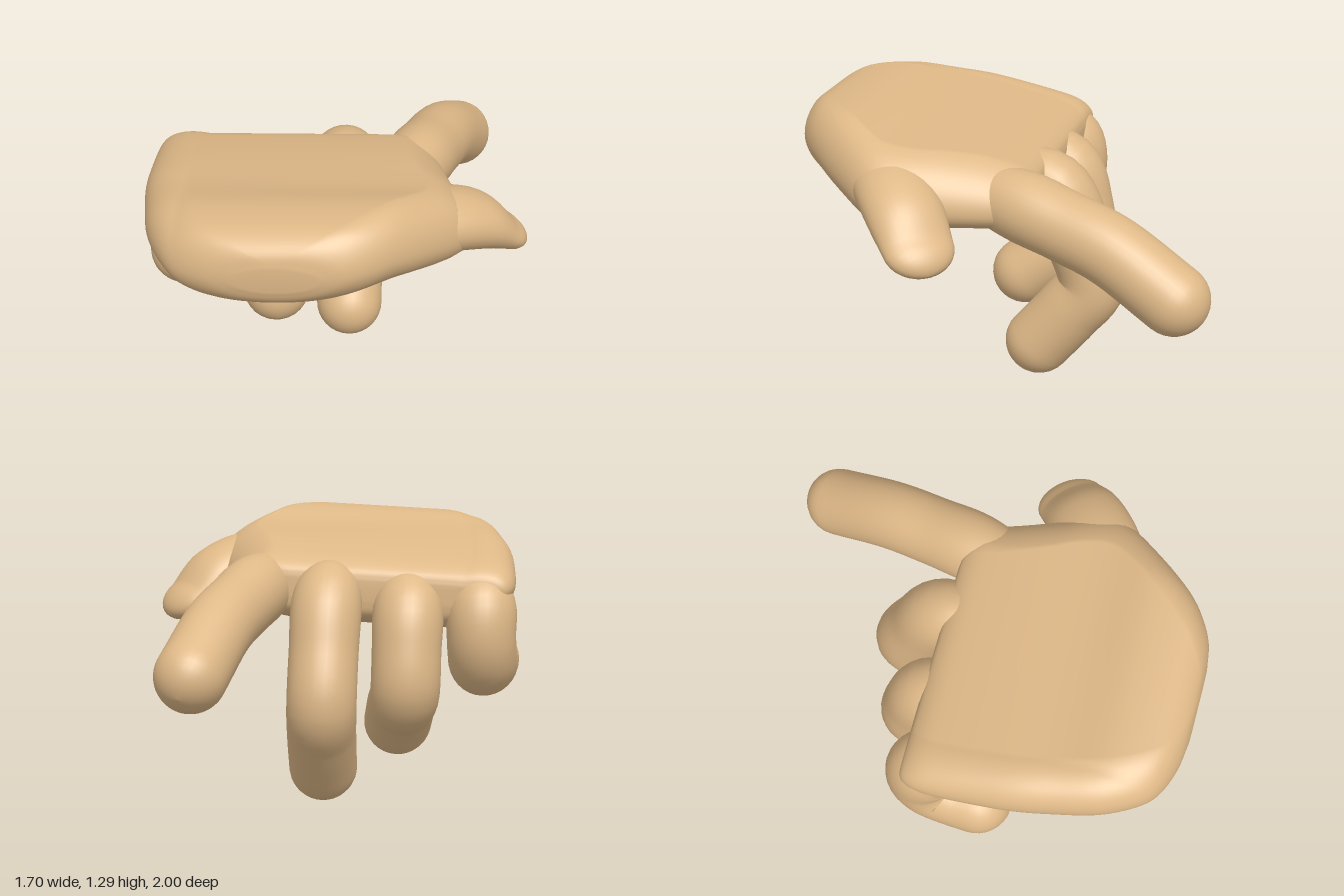
import * as THREE from 'three';

const V = (x, y, z) => new THREE.Vector3(x, y, z);
const SIDES = 32;

// Skin a list of closed rings, closing both ends with a fan
function loft(rings) {
  const n = rings[0].length, pos = [], idx = [];
  rings.forEach(r => r.forEach(p => pos.push(p.x, p.y, p.z)));
  for (let i = 0; i < rings.length - 1; i++) {
    for (let j = 0; j < n; j++) {
      const a = i * n + j, b = i * n + (j + 1) % n;
      idx.push(a, b, b + n, a, b + n, a + n);
    }
  }
  [0, rings.length - 1].forEach((i, end) => {
    const c = rings[i].reduce((s, p) => s.add(p), V(0, 0, 0)).divideScalar(n);
    const k = pos.length / 3;
    pos.push(c.x, c.y, c.z);
    for (let j = 0; j < n; j++) {
      const a = i * n + j, b = i * n + (j + 1) % n;
      if (end) idx.push(a, b, k); else idx.push(b, a, k);
    }
  });
  const g = new THREE.BufferGeometry();
  g.setAttribute('position', new THREE.Float32BufferAttribute(pos, 3));
  g.setIndex(idx);
  g.computeVertexNormals();
  return g;
}

// Sweep an ellipse along a curve and round off the tip.
// points: [x, y, z, sideRadius, upRadius]; side: reference sideways axis
function digit(points, side, tip) {
  const curve = new THREE.CatmullRomCurve3(points.map(p => V(p[0], p[1], p[2])));
  const radii = new THREE.CatmullRomCurve3(points.map(p => V(p[3], p[4], 0)), false, 'catmullrom');
  const rings = [], steps = 30, capSteps = 8;
  const ring = (c, d, rs, ru) => {
    const s = side.clone().addScaledVector(d, -side.dot(d)).normalize();
    const u = d.clone().cross(s);
    rings.push(Array.from({ length: SIDES }, (_, j) => {
      const a = j / SIDES * Math.PI * 2;
      return c.clone().addScaledVector(s, rs * Math.cos(a)).addScaledVector(u, ru * Math.sin(a));
    }));
  };
  for (let i = 0; i <= steps; i++) {
    const t = i / steps, r = radii.getPoint(t);
    ring(curve.getPoint(t), curve.getTangent(t), r.x, r.y);
  }
  const c = curve.getPoint(1), d = curve.getTangent(1), r = radii.getPoint(1);
  for (let i = 1; i <= capSteps; i++) {
    const a = i / capSteps * Math.PI / 2 * 0.98;
    ring(c.clone().addScaledVector(d, tip * Math.sin(a)), d, r.x * Math.cos(a), r.y * Math.cos(a));
  }
  return loft(rings);
}

// Palm: rounded slab sections [z, xLeft, xRight, yBottom, yTop], smoothly joined
function palm() {
  const sections = [
    [-0.17, -0.74, 0.36, 0.95, 1.04], [-0.155, -0.79, 0.42, 0.89, 1.085],
    [-0.1, -0.82, 0.46, 0.85, 1.125], [0, -0.83, 0.475, 0.83, 1.155],
    [0.2, -0.825, 0.54, 0.84, 1.2], [0.35, -0.815, 0.6, 0.855, 1.23],
    [0.5, -0.79, 0.6, 0.87, 1.255], [0.7, -0.745, 0.45, 0.895, 1.29],
    [0.85, -0.67, 0.31, 0.925, 1.29], [0.93, -0.59, 0.21, 0.95, 1.265],
    [0.98, -0.47, 0.11, 0.995, 1.22], [1.0, -0.34, 0, 1.05, 1.16],
  ];
  const rail = (a, b) => new THREE.CatmullRomCurve3(
    sections.map(s => V(s[a], s[b], s[0])), false, 'catmullrom');
  const xs = rail(1, 2), ys = rail(3, 4), steps = 44, n = 64;
  return loft(Array.from({ length: steps + 1 }, (_, i) => {
    const { x: x0, y: x1, z } = xs.getPoint(i / steps);
    const { x: y0, y: y1 } = ys.getPoint(i / steps);
    const cx = (x0 + x1) / 2, w = (x1 - x0) / 2;
    return Array.from({ length: n }, (_, j) => {
      const a = (j + 0.5) / n * Math.PI * 2, c = Math.cos(a), s = Math.sin(a);
      // underside rounds off more broadly than the back of the hand
      const cap = Math.min(s > 0 ? 0.22 : 0.36, w);
      const x = cx + Math.sign(c) * (w - cap) + cap * c;
      // slight sideways tilt, sagging toward the thumb, lifted at the outer edge
      const y = (y0 + y1) / 2 + (y1 - y0) / 2 * s + 0.05 * (Math.min(x, 0.25) - 0.2)
        - 0.2 * Math.max(0, x - 0.3) + 0.25 * Math.max(0, -0.6 - x);
      return V(x, y, z);
    });
  }));
}

export function createModel() {
  const group = new THREE.Group();
  const skin = new THREE.MeshStandardMaterial({ color: 0xdeb887 });
  const add = (name, geometry) => {
    const m = new THREE.Mesh(geometry, skin);
    m.name = name;
    group.add(m);
  };

  add('palm', palm());

  // Fingers: centre-line points from knuckle to tip, the root tapering inside the palm
  const fingers = {
    indexFinger: [[0.24, 1.0, 0.2], [0.33, 0.975, -0.1], [0.39, 0.92, -0.34], [0.44, 0.86, -0.55], [0.508, 0.7, -0.843]],
    middleFinger: [[0, 0.99, 0.08], [0.01, 0.94, -0.17], [0.013, 0.71, -0.295], [0.015, 0.48, -0.365], [0.025, 0.34, -0.27], [0.035, 0.158, -0.122]],
    ringFinger: [[-0.33, 0.97, 0.08], [-0.35, 0.9, -0.13], [-0.35, 0.71, -0.21], [-0.345, 0.53, -0.22], [-0.32, 0.45, -0.1], [-0.295, 0.345, 0.04]],
    littleFinger: [[-0.65, 0.97, 0.1], [-0.675, 0.91, -0.06], [-0.68, 0.77, -0.1], [-0.685, 0.66, -0.05], [-0.69, 0.63, 0.05], [-0.695, 0.625, 0.16]],
  };
  for (const [name, pts] of Object.entries(fingers)) {
    const path = pts.map((p, i) => [...p, i ? 0.156 : 0.1, i ? 0.158 : 0.1]);
    add(name, digit(path, V(1, 0, 0), 0.157));
  }

  // Thumb: flattens into a thin wedge at the tip
  add('thumb', digit([
    [0.2, 1.06, 0.62, 0.12, 0.09], [0.43, 1.05, 0.45, 0.17, 0.13],
    [0.6, 0.985, 0.32, 0.175, 0.125], [0.71, 0.885, 0.225, 0.16, 0.08],
  ], V(0.67, 0, 0.74), 0.14));

  return group;
}
